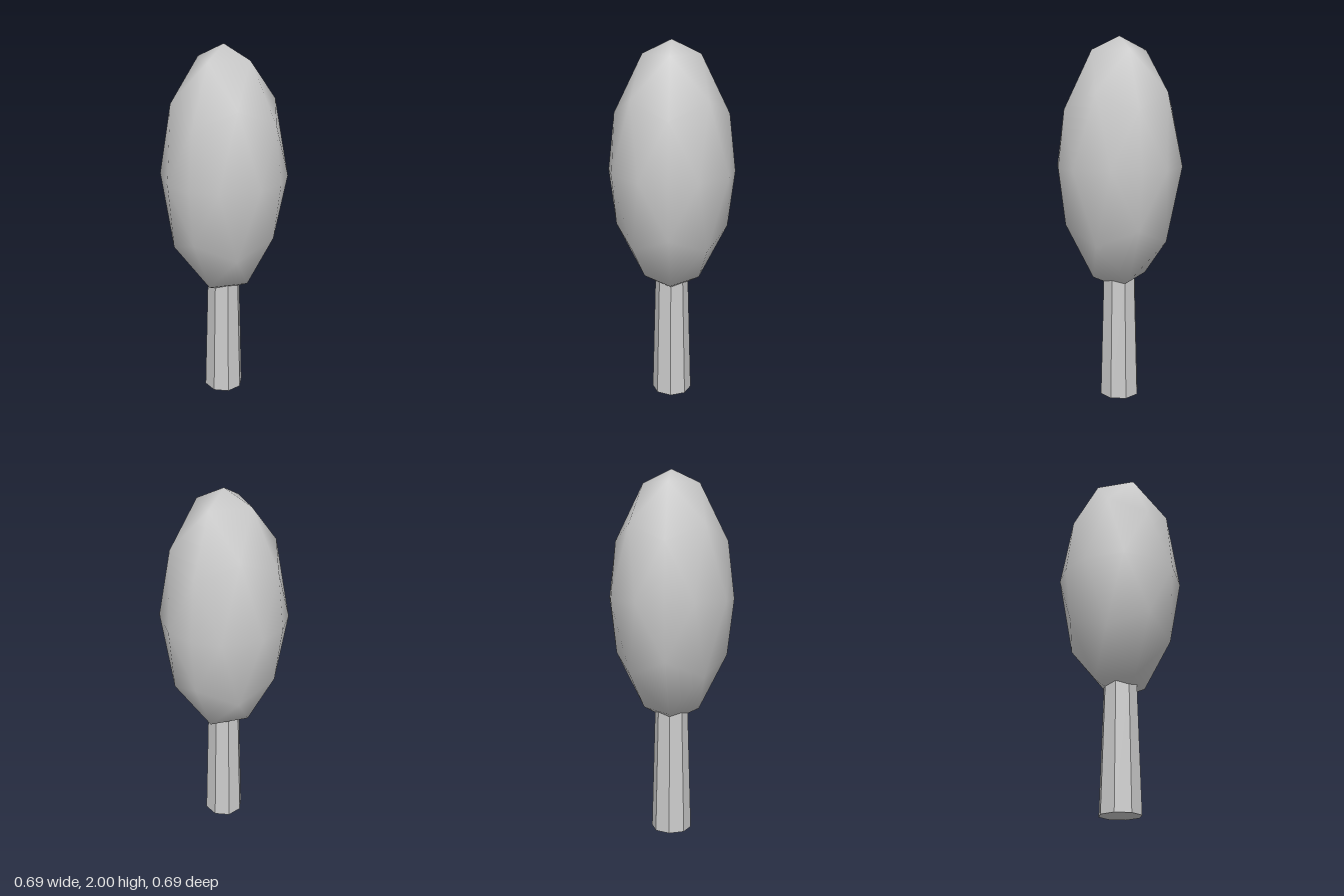
import * as THREE from 'three';

export function createModel() {
  const model = new THREE.Group();
  model.name = 'tree';

  // Trunk: tapered octagonal post with flat faces
  const trunkHeight = 0.69;
  const trunk = new THREE.Mesh(
    new THREE.CylinderGeometry(0.092, 0.112, trunkHeight, 8),
    new THREE.MeshStandardMaterial({ color: 0xcccccc, flatShading: true })
  );
  trunk.name = 'trunk';
  trunk.position.y = trunkHeight / 2;
  model.add(trunk);

  // Crown: smooth-shaded subdivided octahedron, stretched to twice its width
  const radius = 0.344;
  const crownGeometry = new THREE.OctahedronGeometry(radius, 2);
  crownGeometry.scale(1, 2, 1);
  const crown = new THREE.Mesh(
    crownGeometry,
    new THREE.MeshStandardMaterial({ color: 0xcccccc })
  );
  crown.name = 'crown';
  crown.position.y = 2 - radius * 2;
  model.add(crown);

  return model;
}
